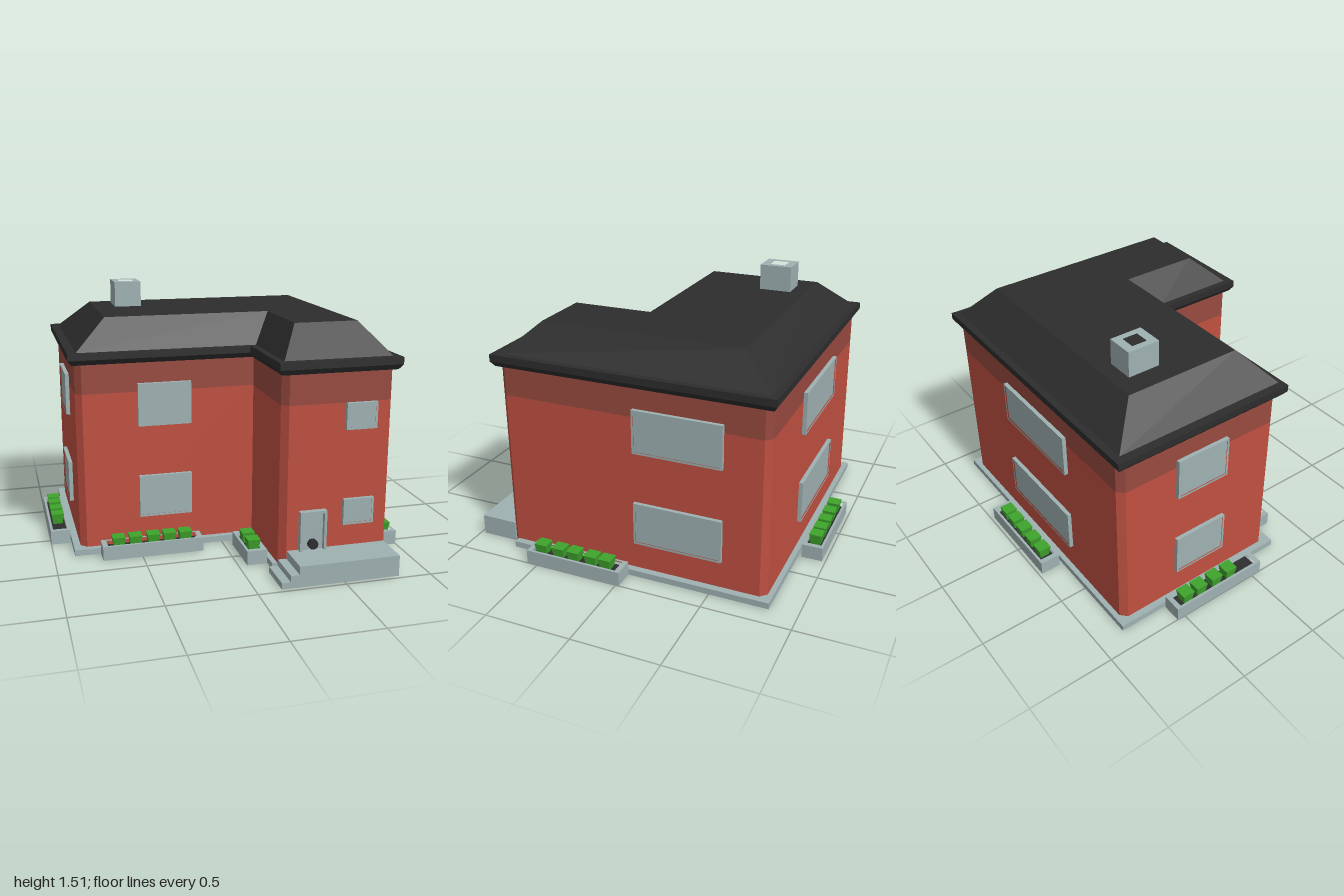
import * as THREE from 'three';

const mat = (name, color, side = THREE.FrontSide) => {
  const m = new THREE.MeshStandardMaterial({ color, side });
  m.name = name;
  return m;
};

// L-shaped outline as [x, z]; (nx, nz) is the inner corner
const ell = (x0, x1, z0, z1, nx, nz) =>
  [[x0, nz], [nx, nz], [nx, z1], [x1, z1], [x1, z0], [x0, z0]];

// Cut every corner of an outline except the inner one
function chamfer(pts, c) {
  const out = [];
  pts.forEach((p, i) => {
    if (i === 1) return out.push(p);
    for (const q of [pts[(i + 5) % 6], pts[(i + 1) % 6]]) {
      const dx = q[0] - p[0], dz = q[1] - p[1], d = Math.hypot(dx, dz);
      out.push([p[0] + dx / d * c, p[1] + dz / d * c]);
    }
  });
  return out;
}

// Flat-sided skin through [outline, height] rings
function loft(rings) {
  const v = [];
  for (let k = 0; k < rings.length - 1; k++) {
    const [lo, y0] = rings[k], [hi, y1] = rings[k + 1];
    lo.forEach((p, i) => {
      const j = (i + 1) % lo.length;
      const a = [p[0], y0, p[1]], b = [lo[j][0], y0, lo[j][1]];
      const c = [hi[j][0], y1, hi[j][1]], d = [hi[i][0], y1, hi[i][1]];
      v.push(...a, ...b, ...c, ...a, ...c, ...d);
    });
  }
  const g = new THREE.BufferGeometry();
  g.setAttribute('position', new THREE.Float32BufferAttribute(v, 3));
  g.computeVertexNormals();
  return g;
}

const flatShape = pts => new THREE.Shape(pts.map(([x, z]) => new THREE.Vector2(x, -z)));
const rect = (w, h) => [[-w / 2, -h / 2], [w / 2, -h / 2], [w / 2, h / 2], [-w / 2, h / 2]];

// Rectangular frame standing in the xy plane, from z = 0 to depth
function frameGeometry(w, h, iw, ih, depth) {
  const s = flatShape(rect(w, h));
  s.holes.push(flatShape(rect(iw, ih)));
  return new THREE.ExtrudeGeometry(s, { depth, bevelEnabled: false });
}

export function createModel() {
  const brick = mat('brick red', 0xc05041, THREE.DoubleSide);
  const darkBrick = mat('dark brick', 0x984a40, THREE.DoubleSide);
  const stone = mat('grey stone', 0x9fb1b2);
  const slate = mat('black slate', 0x2d2d2d);
  const green = mat('leaf green', 0x3ea42c);

  const house = new THREE.Group();
  house.name = 'house';
  const add = (name, geo, m, x = 0, y = 0, z = 0, parent = house) => {
    const mesh = new THREE.Mesh(geo, m);
    mesh.name = name;
    mesh.position.set(x, y, z);
    parent.add(mesh);
    return mesh;
  };
  const box = (name, m, x0, x1, y0, y1, z0, z1, parent) =>
    add(name, new THREE.BoxGeometry(x1 - x0, y1 - y0, z1 - z0), m,
      (x0 + x1) / 2, (y0 + y1) / 2, (z0 + z1) / 2, parent);

  // Walls, open below
  const wall = chamfer(ell(-0.84, 0.84, -0.81, 0.76, 0.2, 0.23), 0.036);
  add('walls', loft([[wall, 0], [wall, 0.95]]), brick);
  add('upperWallBand', loft([[wall, 0.95], [wall, 1.125]]), darkBrick);

  // Foundation ledge around all but the front of the wing
  const ledge = flatShape([[0.22, 0.72], [0.17, 0.72], [0.17, 0.265], [-0.88, 0.265], [-0.88, -0.84],
    [0.88, -0.84], [0.88, 0.72], [0.82, 0.72], [0.82, -0.79], [-0.82, -0.79], [-0.82, 0.21], [0.22, 0.21]]);
  add('foundationLedge',
    new THREE.ExtrudeGeometry(ledge, { depth: 0.036, bevelEnabled: false }).rotateX(-Math.PI / 2), stone);

  // Roof: eaves, slopes, flat top and soffit
  const soffit = ell(-0.855, 0.855, -0.82, 0.77, 0.19, 0.24);
  const eave = ell(-0.88, 0.875, -0.84, 0.79, 0.17, 0.262);
  const foot = ell(-0.83, 0.835, -0.8, 0.74, 0.21, 0.238);
  const crown = ell(-0.645, 0.7, -0.61, 0.55, 0.33, 0.08);
  add('roof', loft([[soffit, 1.12], [eave, 1.15], [eave, 1.19], [foot, 1.19], [crown, 1.36]]), slate);
  add('roofTop', new THREE.ShapeGeometry(flatShape(crown)).rotateX(-Math.PI / 2), slate, 0, 1.36);
  add('soffit', new THREE.ShapeGeometry(flatShape([...soffit])).rotateX(-Math.PI / 2).scale(1, 1, 1),
    slate, 0, 1.121).material = slate;
  const under = new THREE.ShapeGeometry(flatShape(soffit.map(([x, z]) => [x, -z]))).rotateX(Math.PI / 2);
  add('eavesUnderside', under, slate, 0, 1.12);

  // Chimney with a flue
  add('chimney', frameGeometry(0.16, 0.19, 0.085, 0.09, 0.15).rotateX(-Math.PI / 2), stone, -0.44, 1.36, -0.425);
  box('flue', slate, -0.483, -0.397, 1.36, 1.47, -0.47, -0.38);

  // Windows: across is the span along the wall, turn is the wall's facing
  const addWindow = (x, y, z, w, h, turn) => {
    const g = new THREE.Group();
    g.name = 'window';
    add('windowFrame', frameGeometry(w, h, w - 0.024, h - 0.024, 0.04), stone, 0, 0, -0.017, g);
    add('windowPane', new THREE.BoxGeometry(w - 0.02, h - 0.02, 0.008), stone, 0, 0, 0.012, g);
    g.position.set(x, y, z);
    g.rotation.y = turn;
    house.add(g);
  };
  for (const y of [0.325, 0.875]) {
    addWindow(-0.335, y, 0.23, 0.31, 0.25, 0);
    addWindow(0.65, y, 0.76, 0.18, 0.15, 0);
    addWindow(0.84, y, -0.305, 0.51, 0.25, Math.PI / 2);
    addWindow(-0.03, y, -0.81, 0.63, 0.25, Math.PI);
    addWindow(-0.84, y, -0.288, 0.335, 0.25, -Math.PI / 2);
  }

  // Door with a dark round handle
  const door = new THREE.Group();
  door.name = 'door';
  house.add(door);
  box('doorLeftPost', stone, 0.445, 0.46, 0.12, 0.35, 0.745, 0.795, door);
  box('doorRightPost', stone, 0.305, 0.32, 0.12, 0.35, 0.745, 0.795, door);
  box('doorLintel', stone, 0.32, 0.445, 0.335, 0.35, 0.745, 0.795, door);
  box('doorPanel', stone, 0.32, 0.445, 0.12, 0.335, 0.762, 0.77, door);
  add('doorHandle', new THREE.CylinderGeometry(0.029, 0.029, 0.025, 12).rotateX(Math.PI / 2),
    slate, 0.384, 0.155, 0.782, door);

  // Porch and its two steps
  box('porch', stone, 0.24, 0.82, 0, 0.12, 0.755, 0.975);
  box('upperStep', stone, 0.19, 0.24, 0, 0.072, 0.755, 0.975);
  box('lowerStep', stone, 0.14, 0.19, 0, 0.036, 0.755, 0.975);

  // Planters: stone trough, dark soil and a row of clipped shrubs
  const shrub = new THREE.CylinderGeometry(0.053, 0.04, 0.065, 4, 1).rotateY(Math.PI / 4).toNonIndexed();
  shrub.computeVertexNormals();
  const addPlanter = (x0, x1, z0, z1, shrubs) => {
    const g = new THREE.Group();
    g.name = 'planter';
    house.add(g);
    const w = x1 - x0, d = z1 - z0, cx = (x0 + x1) / 2, cz = (z0 + z1) / 2;
    const along = w > d;
    const iw = w - (along ? 0.06 : 0.03), id = d - (along ? 0.03 : 0.06);
    add('trough', frameGeometry(w, d, iw, id, 0.083).rotateX(-Math.PI / 2), stone, cx, 0, cz, g);
    box('troughFloor', stone, cx - iw / 2, cx + iw / 2, 0, 0.02, cz - id / 2, cz + id / 2, g);
    box('soil', slate, cx - iw / 2, cx + iw / 2, 0.02, 0.06, cz - id / 2, cz + id / 2, g);
    for (const s of shrubs) add('shrub', shrub, green, along ? s : cx, 0.091, along ? cz : s, g);
  };
  addPlanter(-0.73, -0.14, 0.265, 0.372, [-0.633, -0.535, -0.43, -0.335, -0.24]);
  addPlanter(-0.255, 0.33, -0.98, -0.86, [-0.165, -0.06, 0.045, 0.143, 0.235]);
  addPlanter(-1, -0.885, -0.55, 0.06, [-0.455, -0.36, -0.25, -0.145]);
  addPlanter(0.88, 1, -0.02, 0.562, [0.08, 0.17, 0.28, 0.375, 0.485]);
  addPlanter(0.05, 0.168, 0.328, 0.635, [0.43, 0.54]);

  return house;
}
